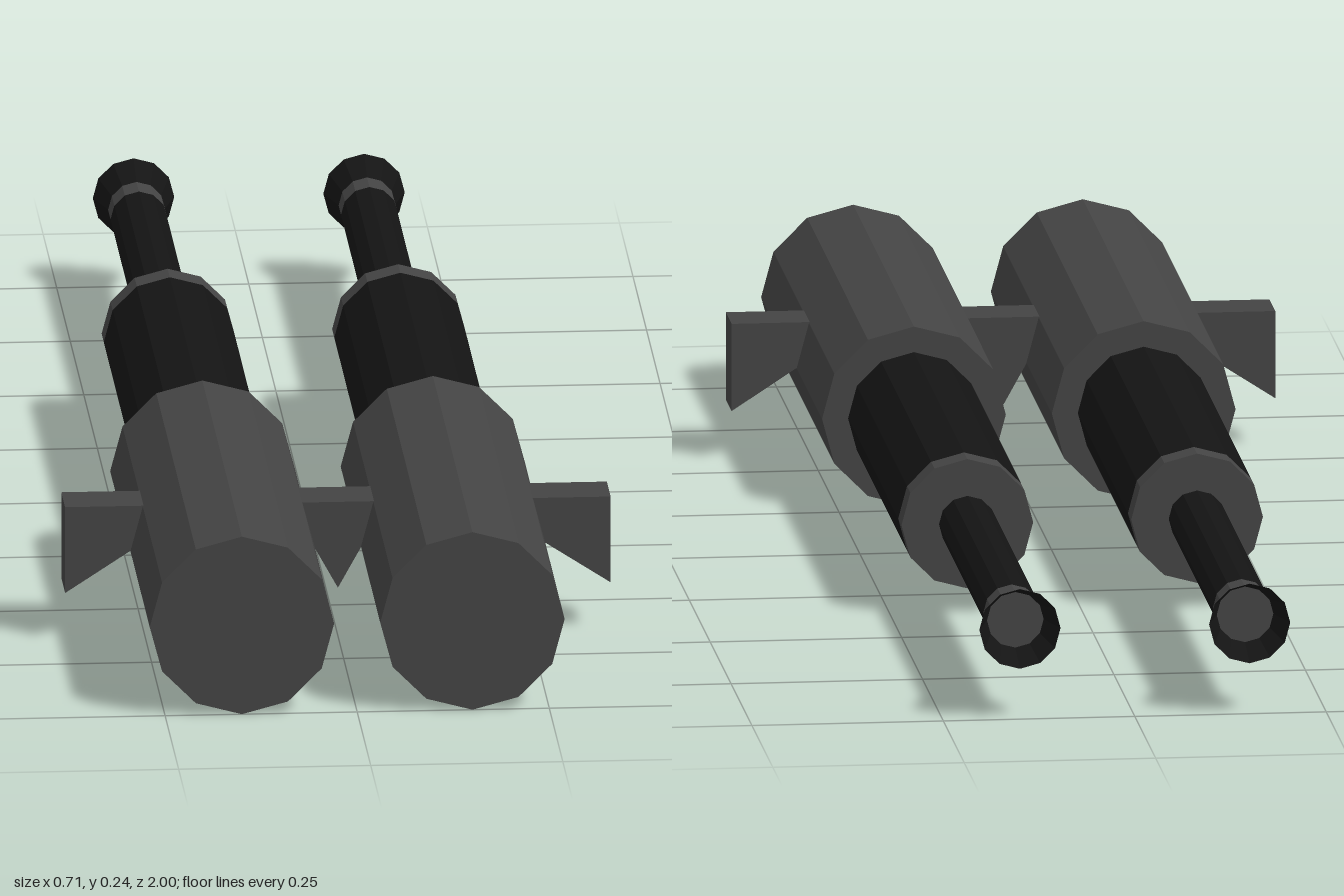
import * as THREE from 'three';

const grey = new THREE.MeshStandardMaterial({ color: 0x444444, flatShading: true });
const dark = new THREE.MeshStandardMaterial({ color: 0x141414, flatShading: true });
const darkOpen = new THREE.MeshStandardMaterial({ color: 0x141414, flatShading: true, side: THREE.DoubleSide });

const AXIS_Y = 0.121, AXIS_X = 0.15, SIDES = 12;

// Twelve-sided section along z, from zFront back to zBack
function section(name, rFront, rBack, zFront, zBack, material, open = false) {
  const geo = new THREE.CylinderGeometry(rBack, rFront, zFront - zBack, SIDES, 1, open);
  geo.rotateX(-Math.PI / 2);
  const mesh = new THREE.Mesh(geo, material);
  mesh.name = name;
  mesh.position.z = (zFront + zBack) / 2;
  return mesh;
}

// Wedge-shaped lug given by its outline in x and y
function lug(name, points) {
  const shape = new THREE.Shape(points.map(([x, y]) => new THREE.Vector2(x, y)));
  const geo = new THREE.ExtrudeGeometry(shape, { depth: 0.07, bevelEnabled: false });
  const mesh = new THREE.Mesh(geo, grey);
  mesh.name = name;
  mesh.position.z = 0.574;
  return mesh;
}

function barrel(name, x) {
  const g = new THREE.Group();
  g.name = name;
  g.position.set(x, AXIS_Y, 0);
  g.add(
    section('housing', 0.12, 0.12, 1, 0.27, grey),
    section('sleeve', 0.086, 0.086, 0.28, -0.33, dark),
    section('sleeveCollar', 0.086, 0.086, -0.33, -0.37, grey),
    section('innerTube', 0.037, 0.037, -0.36, -0.9, dark),
    section('muzzleRing', 0.037, 0.037, -0.9, -0.945, grey),
    section('muzzleFlare', 0.037, 0.053, -0.945, -1, darkOpen, true),
  );
  return g;
}

export function createModel() {
  const model = new THREE.Group();
  model.name = 'twinBarrels';

  for (const side of [1, -1]) {
    model.add(barrel(side > 0 ? 'leftBarrel' : 'rightBarrel', side * AXIS_X));
    // Outer lug, its root buried in the housing
    model.add(lug(side > 0 ? 'leftLug' : 'rightLug', [
      [side * 0.2, 0.182], [side * 0.2, 0.122], [side * 0.269, 0.122],
      [side * 0.355, 0.066], [side * 0.355, 0.182],
    ]));
  }

  // Wedge bridging the two housings
  model.add(lug('centreLug', [
    [-0.1, 0.182], [-0.1, 0.122], [-0.031, 0.122], [0, 0.066],
    [0.031, 0.122], [0.1, 0.122], [0.1, 0.182],
  ]));
  return model;
}
